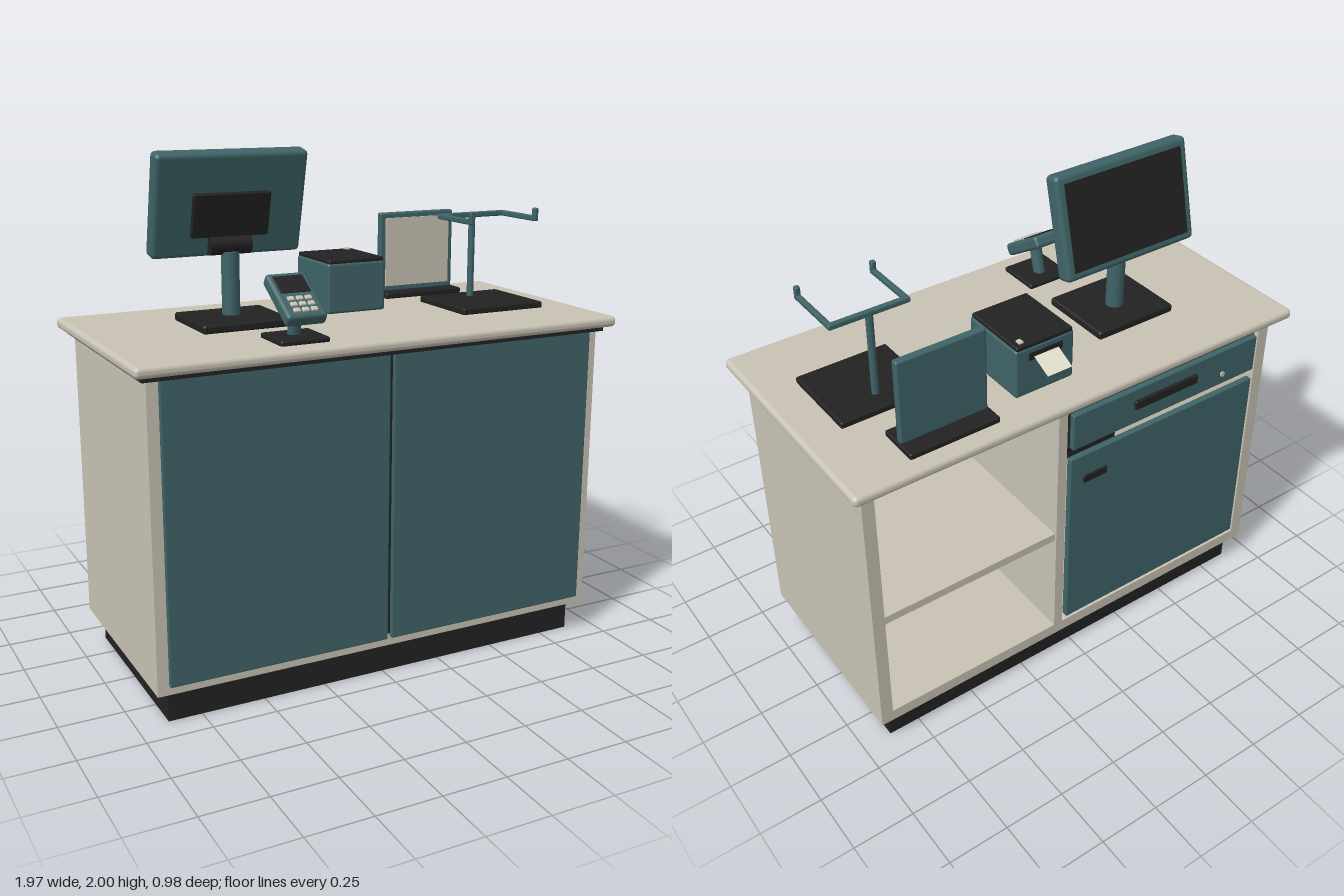
import * as THREE from 'three';
import { RoundedBoxGeometry } from 'three/addons/geometries/RoundedBoxGeometry.js';

const mat = (name, color) => {
  const m = new THREE.MeshStandardMaterial({ color });
  m.name = name;
  return m;
};

export function createModel() {
  const teal = mat('teal', 0x3f6468);
  const cream = mat('cream', 0xc9c3b5);
  const dark = mat('charcoal', 0x222223);
  const paper = mat('paper', 0xe2e0cb);
  paper.side = THREE.DoubleSide;

  const root = new THREE.Group();
  root.name = 'checkoutCounter';

  const group = (name, x = 0, y = 0, z = 0) => {
    const g = new THREE.Group();
    g.name = name;
    g.position.set(x, y, z);
    root.add(g);
    return g;
  };
  const add = (parent, name, geo, m, x = 0, y = 0, z = 0) => {
    const mesh = new THREE.Mesh(geo, m);
    mesh.name = name;
    mesh.position.set(x, y, z);
    parent.add(mesh);
    return mesh;
  };
  // Box given by its limits; r rounds the edges
  const box = (parent, name, m, [x0, x1], [y0, y1], [z0, z1], r = 0) => {
    const w = x1 - x0, h = y1 - y0, d = z1 - z0;
    const geo = r ? new RoundedBoxGeometry(w, h, d, 3, r) : new THREE.BoxGeometry(w, h, d);
    return add(parent, name, geo, m, (x0 + x1) / 2, (y0 + y1) / 2, (z0 + z1) / 2);
  };

  // Cabinet carcass, open at the back
  const cabinet = group('cabinet');
  box(cabinet, 'plinth', dark, [-0.88, 0.88], [0, 0.125], [-0.385, 0.39]);
  box(cabinet, 'bottomBoard', cream, [-0.88, 0.88], [0.125, 0.175], [-0.425, 0.43]);
  for (const s of [-1, 1]) {
    const outer = [0.88 * s, 0.93 * s].sort((a, b) => a - b);
    const door = [0.008 * s, 0.888 * s].sort((a, b) => a - b);
    box(cabinet, 'sidePanel', cream, outer, [0.125, 1.285], [-0.425, 0.43]);
    box(cabinet, 'frontPanel', teal, door, [0.16, 1.284], [0.43, 0.45], 0.005);
  }
  box(cabinet, 'backingBoard', dark, [-0.88, 0.88], [0.175, 1.285], [0.405, 0.432]);
  box(cabinet, 'divider', cream, [0.07, 0.11], [0.175, 1.285], [-0.425, 0.405]);
  box(cabinet, 'shelf', cream, [0.11, 0.88], [0.64, 0.675], [-0.415, 0.405]);
  box(cabinet, 'subTop', dark, [-0.95, 0.95], [1.28, 1.302], [-0.45, 0.45]);
  box(cabinet, 'counterTop', cream, [-0.985, 0.985], [1.3, 1.342], [-0.49, 0.49], 0.018);

  // Cupboard door and cash drawer on the staff side
  box(cabinet, 'cupboardDoor', teal, [-0.87, 0.05], [0.19, 1.02], [-0.427, -0.4], 0.004);
  box(cabinet, 'doorHandle', dark, [-0.125, -0.01], [0.885, 0.92], [-0.434, -0.42], 0.006);
  box(cabinet, 'drawerBox', dark, [-0.86, 0.06], [1.09, 1.25], [-0.42, 0.1]);
  box(cabinet, 'drawerFront', teal, [-0.855, 0.055], [1.08, 1.24], [-0.443, -0.415], 0.005);
  box(cabinet, 'drawerHandle', dark, [-0.54, -0.23], [1.15, 1.19], [-0.456, -0.44], 0.006);
  const lock = add(cabinet, 'drawerLock', new THREE.CylinderGeometry(0.011, 0.011, 0.008, 16), cream, -0.68, 1.13, -0.445);
  lock.rotation.x = Math.PI / 2;

  // Monitor, screen facing the staff side and leaning back
  const stand = group('monitorStand', -0.41);
  box(stand, 'monitorBase', dark, [-0.18, 0.18], [1.34, 1.374], [-0.225, 0.09], 0.01);
  add(stand, 'monitorPost', new THREE.CylinderGeometry(0.035, 0.035, 0.25, 24), teal, 0, 1.49, -0.085);
  const hinge = add(stand, 'monitorHinge', new THREE.CylinderGeometry(0.038, 0.038, 0.165, 24), dark, 0, 1.64, -0.095);
  hinge.rotation.z = Math.PI / 2;
  const monitor = group('monitor', -0.41, 1.797, -0.1);
  monitor.rotation.x = 0.24;
  box(monitor, 'monitorCase', teal, [-0.303, 0.303], [-0.2, 0.2], [-0.035, 0.035], 0.018);
  box(monitor, 'screen', dark, [-0.27, 0.27], [-0.168, 0.168], [-0.039, -0.03]);
  box(monitor, 'rearCover', dark, [-0.155, 0.155], [-0.118, 0.052], [0.03, 0.053], 0.006);

  // Card terminal on a tilted stem
  const terminal = group('cardTerminal', -0.328, 1.49, 0.317);
  terminal.rotation.x = 0.57;
  box(terminal, 'terminalBody', teal, [-0.079, 0.079], [-0.025, 0.025], [-0.118, 0.118], 0.014);
  box(terminal, 'terminalScreen', dark, [-0.06, 0.06], [0.02, 0.028], [-0.096, -0.006], 0.003);
  for (let i = -1; i <= 1; i++) {
    for (let j = 0; j < 3; j++) {
      add(terminal, 'key', new RoundedBoxGeometry(0.026, 0.012, 0.02, 2, 0.004), cream,
        i * 0.034, 0.027, 0.026 + j * 0.03);
    }
  }
  const terminalStand = group('terminalStand', -0.328, 0, 0.315);
  box(terminalStand, 'terminalBase', dark, [-0.097, 0.097], [1.34, 1.361], [-0.092, 0.092], 0.008);
  const stem = add(terminalStand, 'terminalStem', new THREE.CylinderGeometry(0.024, 0.024, 0.13, 20), teal, 0, 1.415, 0);
  stem.rotation.x = 0.25;

  // Receipt printer
  const printer = group('receiptPrinter');
  box(printer, 'printerBody', teal, [-0.01, 0.246], [1.34, 1.542], [-0.345, -0.056], 0.012);
  box(printer, 'printerLid', dark, [-0.004, 0.24], [1.536, 1.556], [-0.343, -0.06], 0.007);
  box(printer, 'printerButton', cream, [0.199, 0.219], [1.55, 1.563], [-0.328, -0.303], 0.003);
  box(printer, 'paperSlot', dark, [0.045, 0.19], [1.488, 1.518], [-0.349, -0.34]);
  const receipt = add(printer, 'receipt', new THREE.PlaneGeometry(0.107, 0.098), paper, 0.117, 1.482, -0.387);
  receipt.rotation.x = -Math.PI / 2 - 0.44;

  // Framed sign on a base
  const sign = group('signStand', 0.547);
  box(sign, 'signBase', dark, [-0.183, 0.183], [1.34, 1.365], [-0.422, -0.253], 0.007);
  box(sign, 'signBack', teal, [-0.177, 0.177], [1.36, 1.695], [-0.353, -0.322], 0.008);
  box(sign, 'signFace', cream, [-0.153, 0.153], [1.385, 1.673], [-0.323, -0.314]);

  // Bag holder: post with a U-shaped rail and upturned tips
  const holder = group('bagHolder', 0.647);
  box(holder, 'holderBase', dark, [-0.188, 0.188], [1.34, 1.367], [-0.14, 0.2], 0.007);
  add(holder, 'holderPost', new THREE.CylinderGeometry(0.014, 0.014, 0.345, 16), teal, 0, 1.533, -0.05);
  box(holder, 'crossRail', teal, [-0.16, 0.16], [1.692, 1.714], [-0.062, -0.04], 0.006);
  for (const s of [-1, 1]) {
    const x = s * 0.15;
    box(holder, 'holderArm', teal, [x - 0.01, x + 0.01], [1.692, 1.714], [-0.062, 0.19], 0.006);
    box(holder, 'armTip', teal, [x - 0.01, x + 0.01], [1.692, 1.745], [0.168, 0.19], 0.006);
  }

  return root;
}
